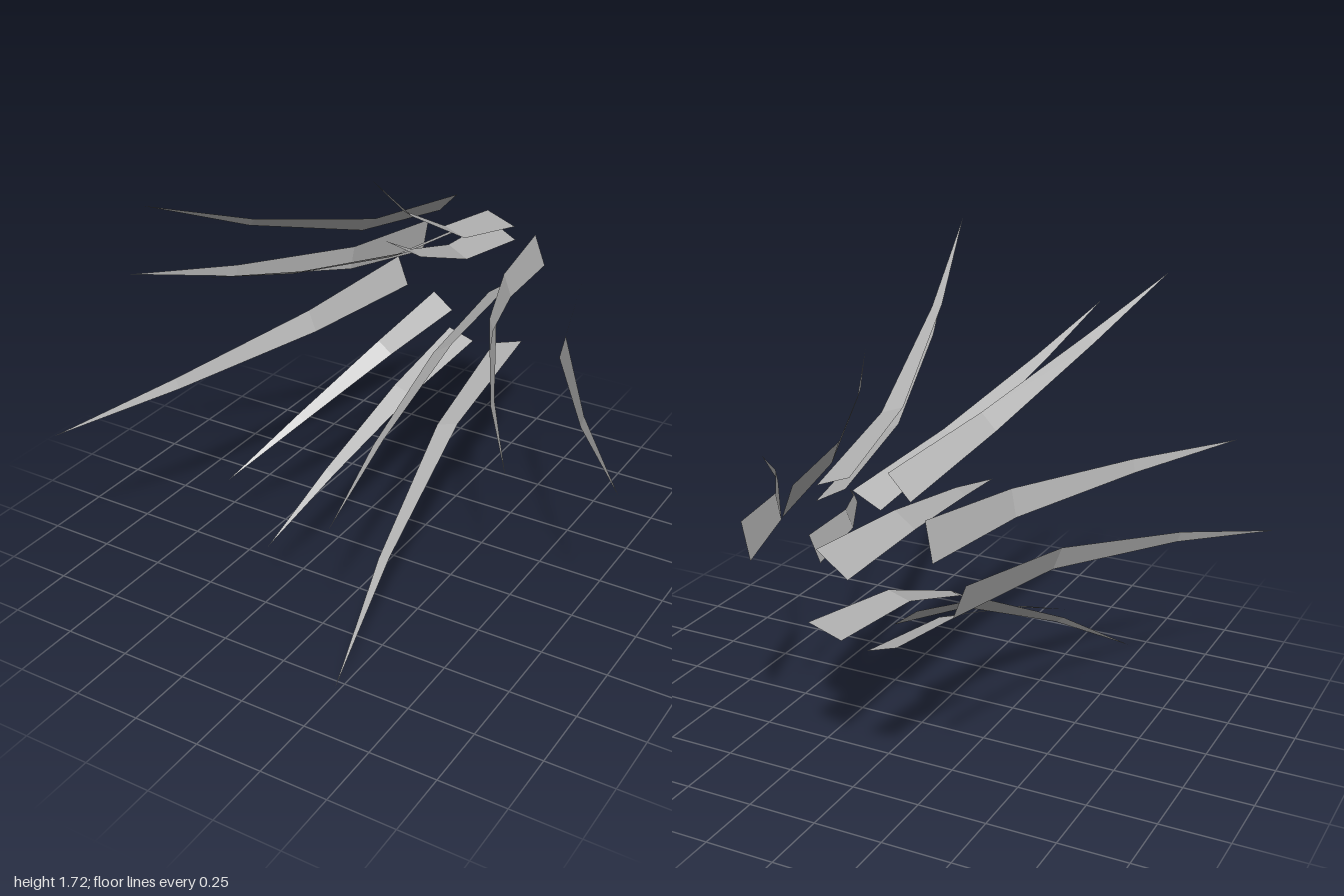
import * as THREE from 'three';

const BACK = -0.8;
// Cross-sections along a blade: [depth fraction, sideways fraction, width fraction]
const STATIONS = [[0, 0, 1], [0.35, 0.175, 0.7], [0.72, 0.585, 0.34], [1, 1, 0]];

// Each blade: base corner a (x, y), base corner b (x, y), tip (x, y, z)
const BLADES = [
  [-0.045, 1.15, 0.075, 1.105, 0.19, 1.73, 0.46],
  [-0.03, 1.11, 0.08, 1.05, 0.26, 1.55, 0.49],
  [0.165, 1.09, 0.21, 0.97, 0.58, 1.19, 0.39],
  [0.37, 0.93, 0.34, 0.795, 0.99, 0.73, 0.25],
  [0.11, 0.93, 0.07, 0.84, 0.58, 0.665, 0.24],
  [0.085, 0.885, -0.03, 0.8, 0.19, 0.605, 0.74],
  [0.125, 0.62, 0, 0.58, 0.235, 0.01, 0.79],
  [-0.095, 0.565, -0.205, 0.6, -0.26, 0.225, 0.46],
  [-0.195, 0.68, -0.28, 0.745, -0.62, 0.26, 0.21],
  [-0.405, 0.745, -0.45, 0.865, -1, 0.6, 0.72],
  [-0.335, 0.915, -0.31, 1.055, -0.955, 1.085, 0.29],
  [-0.26, 1.105, -0.182, 1.188, -0.555, 1.56, 0.66],
  [-0.155, 1.06, -0.055, 1.11, -0.26, 1.405, 0.745],
];

// Thin tapering strip that bends outward from its base to a point
function bladeGeometry([ax, ay, bx, by, tx, ty, tz]) {
  const cx = (ax + bx) / 2, cy = (ay + by) / 2;
  const rows = STATIONS.map(([depth, side, width]) => {
    const x = cx + (tx - cx) * side, y = cy + (ty - cy) * side;
    const z = BACK + (tz - BACK) * depth;
    const hx = (bx - ax) / 2 * width, hy = (by - ay) / 2 * width;
    return [[x - hx, y - hy, z], [x + hx, y + hy, z]];
  });
  const points = [];
  for (let i = 0; i < rows.length - 1; i++) {
    const [a, b] = rows[i], [c, d] = rows[i + 1];
    points.push(...a, ...b, ...c);
    if (i < rows.length - 2) points.push(...b, ...d, ...c);
  }
  const geometry = new THREE.BufferGeometry();
  geometry.setAttribute('position', new THREE.Float32BufferAttribute(points, 3));
  geometry.computeVertexNormals();
  return geometry;
}

export function createModel() {
  const group = new THREE.Group();
  group.name = 'bladeBurst';
  const grey = new THREE.MeshStandardMaterial({ color: 0xb8b8b8, side: THREE.DoubleSide, flatShading: true });
  grey.name = 'light grey';

  // Ring of blades spreading forward
  BLADES.forEach((blade, i) => {
    const mesh = new THREE.Mesh(bladeGeometry(blade), grey);
    mesh.name = `blade${i + 1}`;
    group.add(mesh);
  });
  return group;
}
